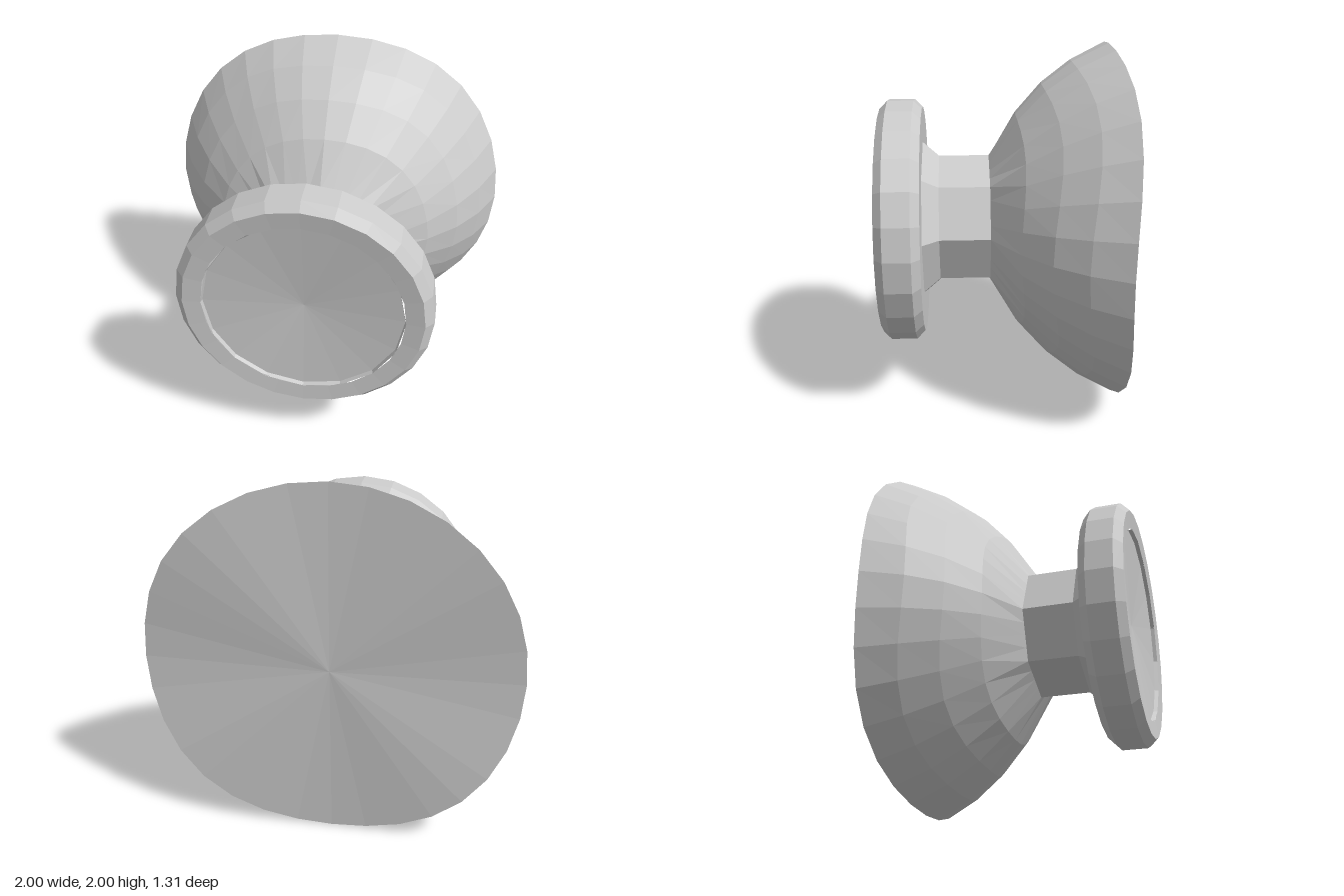
import * as THREE from 'three';

const grey = () => new THREE.MeshStandardMaterial({ color: 0xcccccc, flatShading: true });

// Turned part along z; profile is a list of [radius, z] pairs, counter-clockwise from the back.
function turned(name, profile, sides) {
  const geo = new THREE.LatheGeometry(profile.map(([r, z]) => new THREE.Vector2(r, z)), sides);
  geo.rotateX(Math.PI / 2);
  const mesh = new THREE.Mesh(geo, grey());
  mesh.name = name;
  return mesh;
}

// Bowl: rings that swell from the octagonal neck to a wavy round rim, closed at the back by a fan.
function bowl() {
  const N = 32;
  // radius, z, backward push on the diagonals, widening on the diagonals
  const rings = [
    [0.375, 0.05, 0, 0],
    [0.61, -0.1, 0.03, 0.01],
    [0.775, -0.245, 0.06, 0.02],
    [0.9, -0.41, 0.07, 0.025],
    [1.0, -0.61, 0.045, 0.018],
  ];
  const pos = [], index = [];
  rings.forEach(([r, z, push, widen], k) => {
    for (let i = 0; i < N; i++) {
      const a = (i / N) * Math.PI * 2;
      const d = Math.sin(2 * a) ** 2;
      // the first ring lies on the edges of the octagon
      const off = (a % (Math.PI / 4)) - Math.PI / 8;
      const oct = k === 0 ? Math.cos(Math.PI / 8) / Math.cos(off) : 1;
      const rr = r * oct * (1 + widen * d);
      pos.push(rr * Math.cos(a), rr * Math.sin(a), z - push * d);
    }
  });
  const centre = pos.length / 3;
  pos.push(0, 0, -0.633);
  const last = (rings.length - 1) * N;
  for (let i = 0; i < N; i++) {
    const j = (i + 1) % N;
    for (let k = 0; k < rings.length - 1; k++) {
      const a = k * N + i, b = k * N + j, c = a + N, d = b + N;
      index.push(a, c, b, b, c, d);
    }
    index.push(last + i, centre, last + j);
  }
  const geo = new THREE.BufferGeometry();
  geo.setAttribute('position', new THREE.Float32BufferAttribute(pos, 3));
  geo.setIndex(index);
  geo.computeVertexNormals();
  const mesh = new THREE.Mesh(geo, grey());
  mesh.name = 'bowl';
  return mesh;
}

export function createModel() {
  const group = new THREE.Group();
  group.name = 'knob';

  // Octagonal neck with a flare under the disc
  const neck = turned('neck', [[0.375, 0.05], [0.375, 0.33], [0.455, 0.42]], 8);

  // Chamfered disc
  const disc = turned('disc', [
    [0, 0.42], [0.645, 0.42], [0.69, 0.465], [0.69, 0.61], [0.645, 0.655], [0.545, 0.645],
  ], 24);

  // Shallow dished face set into the disc
  const dish = turned('dishedFace', [[0.546, 0.647], [0.54, 0.625], [0, 0.58]], 16);

  group.add(bowl(), neck, disc, dish);
  group.children.forEach((m) => { m.position.y = 1; });
  return group;
}
